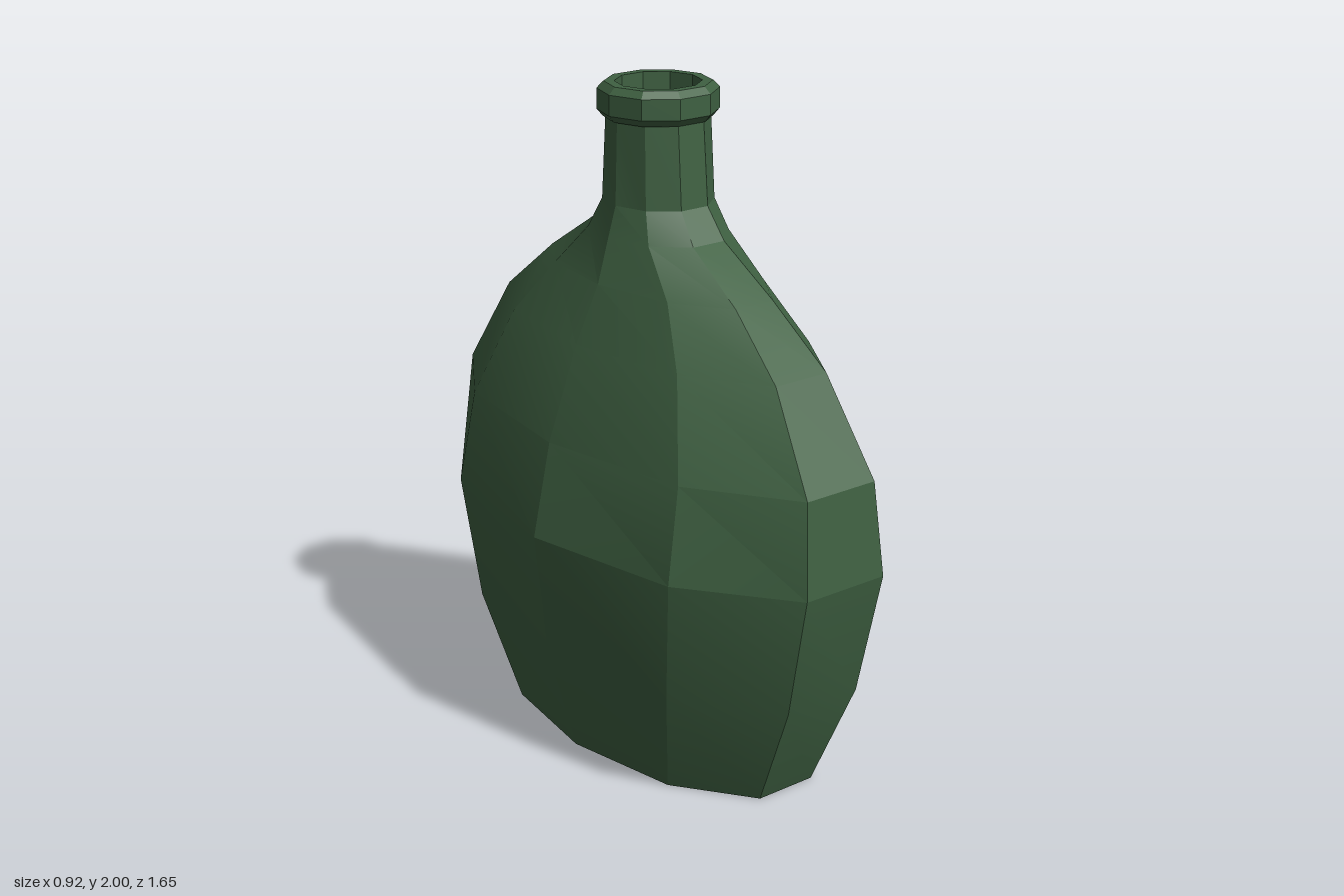
import * as THREE from 'three';
import { toCreasedNormals } from 'three/addons/utils/BufferGeometryUtils.js';

const SIDES = 10;

// Rings are [height, half width in x, half depth in z] of an elliptical decagon
const body = [
  [0, 0.32, 0.63],
  [0.34, 0.418, 0.785],
  [0.72, 0.46, 0.87],
  [1.0, 0.4, 0.84],
  [1.275, 0.3, 0.66],
  [1.44, 0.22, 0.45],
  [1.57, 0.182, 0.24],
  [1.66, 0.155, 0.173],
  [1.9, 0.148, 0.155],
];
const LABEL_FROM = 1, LABEL_TO = 5;

const isLabel = (i, k) =>
  i >= LABEL_FROM && i < LABEL_TO && (k === 0 || k === SIDES - 1);

function corner([y, rx, rz], k) {
  const a = (k * Math.PI * 2) / SIDES;
  return [rx * Math.cos(a), y, rz * Math.sin(a)];
}

// Faceted skin through the rings, keeping only the wanted facets
function skin(name, rings, material, keep = () => true) {
  const pos = [];
  for (let i = 0; i < rings.length - 1; i++) {
    for (let k = 0; k < SIDES; k++) {
      if (!keep(i, k)) continue;
      const a = corner(rings[i], k), b = corner(rings[i + 1], k);
      const c = corner(rings[i + 1], k + 1), d = corner(rings[i], k + 1);
      if (rings[i + 1][1] > 0) pos.push(...a, ...b, ...c);
      if (rings[i][1] > 0) pos.push(...a, ...c, ...d);
    }
  }
  const geometry = new THREE.BufferGeometry();
  geometry.setAttribute('position', new THREE.Float32BufferAttribute(pos, 3));
  const mesh = new THREE.Mesh(toCreasedNormals(geometry, 0.3), material);
  mesh.name = name;
  return mesh;
}

export function createModel() {
  const group = new THREE.Group();
  group.name = 'bottle';
  const glass = new THREE.MeshStandardMaterial({ color: 0x3f6142 });
  const paper = new THREE.MeshStandardMaterial({ color: 0x5a585a });

  // Flattened body and neck, with a gap where the label sits
  group.add(skin('bodyAndNeck', body, glass, (i, k) => !isLabel(i, k)));
  group.add(skin('label', body, paper, isLabel));

  // Flat underside
  group.add(skin('base', [[0, 0, 0], body[0]], glass));

  // Rolled lip that turns over into the mouth
  const lip = [
    [1.9, 0.14, 0.14],
    [1.9, 0.158, 0.158],
    [1.92, 0.175, 0.175],
    [1.98, 0.175, 0.175],
    [2.0, 0.155, 0.155],
    [2.0, 0.125, 0.125],
  ];
  group.add(skin('lip', lip, glass));

  // Inside of the neck with its floor
  const mouth = [[2.0, 0.125, 0.125], [1.68, 0.122, 0.122], [1.68, 0, 0]];
  group.add(skin('mouth', mouth, glass));

  return group;
}
